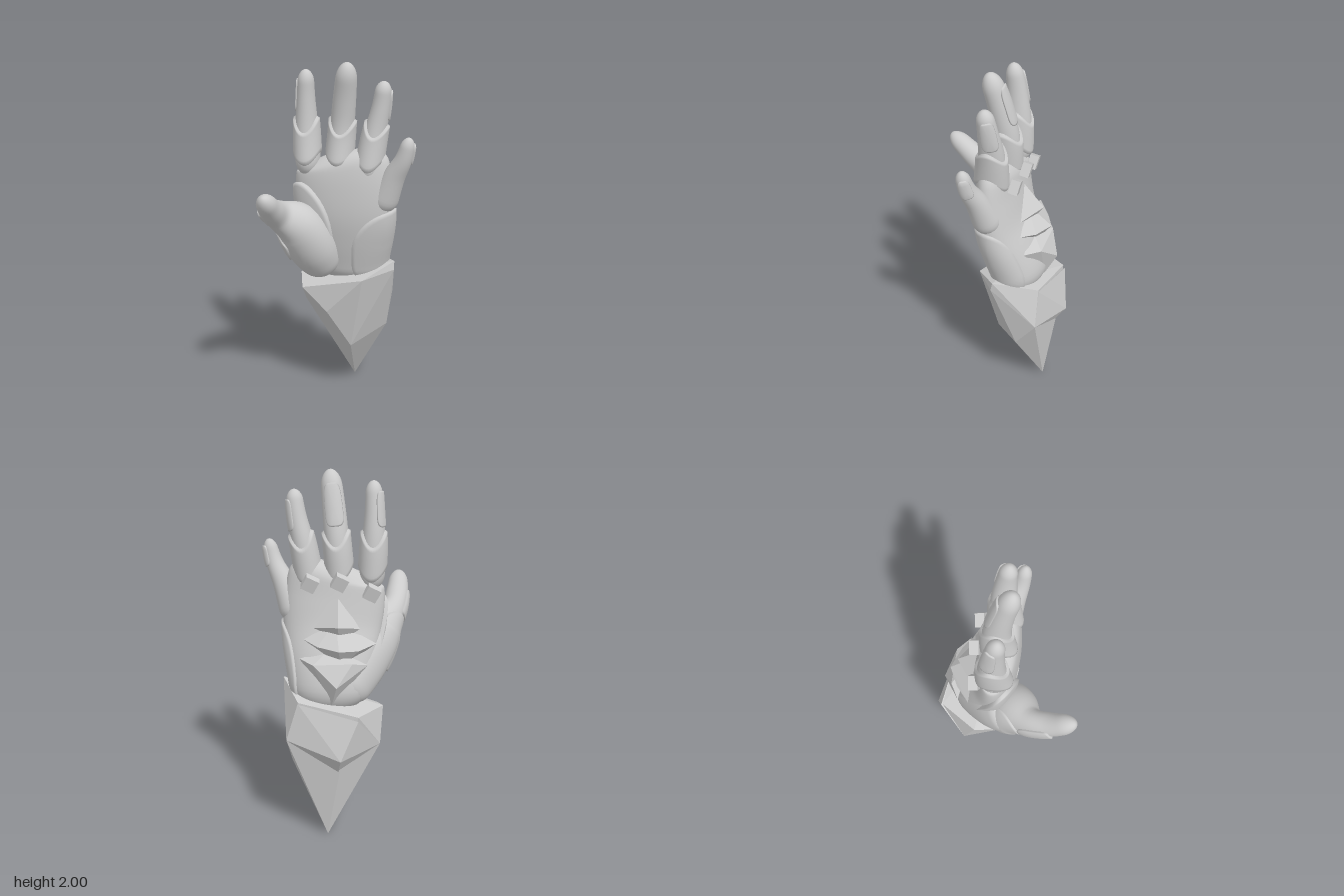
import * as THREE from 'three';
import { mergeVertices } from 'three/addons/utils/BufferGeometryUtils.js';
import { ConvexGeometry } from 'three/addons/geometries/ConvexGeometry.js';

const smooth = new THREE.MeshStandardMaterial({ color: 0xcccccc, side: THREE.DoubleSide });
const faceted = new THREE.MeshStandardMaterial({ color: 0xcccccc, flatShading: true });
const V = (x, y, z) => new THREE.Vector3(x, y, z);
const bend = (s, p) => Math.sign(s) * Math.abs(s) ** p;

// Grid surface from a rule fn(u, v), u and v in 0..1
function surface(fn, nu, nv) {
  const pos = [], idx = [];
  for (let j = 0; j <= nv; j++)
    for (let i = 0; i <= nu; i++) pos.push(...fn((i % nu) / nu, j / nv).toArray());
  for (let j = 0; j < nv; j++)
    for (let i = 0; i < nu; i++) {
      const a = j * (nu + 1) + i, b = a + nu + 1;
      idx.push(a, a + 1, b + 1, a, b + 1, b);
    }
  let g = new THREE.BufferGeometry();
  g.setAttribute('position', new THREE.Float32BufferAttribute(pos, 3));
  g.setIndex(idx);
  g = mergeVertices(g, 1e-5);
  g.computeVertexNormals();
  return g;
}

// Swept limb: rows are [x, y, z, radius along ref, radius across]; returns point(t, angle, offset)
function limb(rows, ref = V(0, 0, -1), cap = 0.1, power = 1) {
  const path = new THREE.CatmullRomCurve3(rows.map(r => V(r[0], r[1], r[2])), false, 'catmullrom');
  const radii = new THREE.CatmullRomCurve3(rows.map(r => V(r[3], r[4] ?? r[3], 0)), false, 'catmullrom');
  return (t, a, off = 0) => {
    t = THREE.MathUtils.clamp(t, 0, 1);
    const c = path.getPoint(t), r = radii.getPoint(t), T = path.getTangent(t);
    const N = ref.clone().addScaledVector(T, -ref.dot(T)).normalize();
    const B = T.clone().cross(N);
    const e = Math.max(0, 1 - Math.min(t, 1 - t) / cap);
    const k = Math.sqrt(Math.max(0, 1 - e * e));
    return c.addScaledVector(N, (r.x * k + off) * bend(Math.cos(a), power))
      .addScaledVector(B, (r.y * k + off) * bend(Math.sin(a), power));
  };
}
const body = (L, nu = 28, nv = 36) =>
  surface((u, v) => L((1 - Math.cos(Math.PI * v)) / 2, u * 2 * Math.PI), nu, nv);

// Raised plate lying on a limb, with a steep rim
function pad(L, tc, ac, dt, da, h, square = 0.7) {
  return surface((u, v) => {
    const th = -u * 2 * Math.PI, r = Math.min(1, v * 1.08);
    const off = v > 0.95 ? -0.012 : h * (1 - 0.25 * v ** 4);
    return L(tc + dt * r * bend(Math.sin(th), square), ac + da * r * bend(Math.cos(th), square), off);
  }, 40, 14);
}

// Scalloped sleeve around the root of a finger
function sleeve(L) {
  return surface((u, v) => {
    const a = u * 2 * Math.PI, s = Math.sin(a) ** 2;
    const lo = 0.08 + 0.08 * s, hi = 0.36 + 0.14 * s;
    const off = v === 0 || v === 1 ? -0.01 : 0.01 + 0.003 * v;
    return L(lo + (hi - lo) * v, a, off);
  }, 36, 12);
}

export function createModel() {
  const hand = new THREE.Group();
  hand.name = 'gauntletHand';
  const add = (name, geo, mat = smooth, parent = hand) => {
    const m = new THREE.Mesh(geo, mat);
    m.name = name;
    parent.add(m);
    return m;
  };
  const hull = (name, pts) => add(name, new ConvexGeometry(pts.map(p => V(...p))), faceted);

  // Palm with its raised panels
  const palm = limb([
    [0.01, 0.7, -0.18, 0.14, 0.2], [0.01, 0.85, -0.16, 0.15, 0.22], [0.01, 1.0, -0.115, 0.145, 0.25],
    [0.01, 1.15, -0.07, 0.13, 0.27], [0, 1.3, -0.05, 0.115, 0.275],
    [-0.01, 1.42, -0.045, 0.1, 0.262], [-0.03, 1.5, -0.05, 0.08, 0.23],
  ], undefined, 0.16, 0.95);
  add('palm', body(palm, 48, 40));
  add('thumbSidePanel', pad(palm, 0.39, 2.15, 0.34, 0.78, 0.025, 1));
  add('littleFingerSidePanel', pad(palm, 0.27, 4.35, 0.26, 1.05, 0.013));

  // Thumb, its plates and the cuff behind it
  const thumb = limb([
    [-0.11, 0.78, -0.09, 0.1], [-0.17, 0.95, 0.015, 0.14, 0.13], [-0.235, 1.1, 0.085, 0.13],
    [-0.31, 1.18, 0.18, 0.075, 0.088], [-0.33, 1.25, 0.29, 0.064], [-0.335, 1.35, 0.415, 0.048],
  ], V(-1, 0, 0));
  add('thumb', body(thumb, 32, 44));
  add('thumbHeelPlate', pad(thumb, 0.36, -0.2, 0.2, 1.25, 0.01, 1));
  add('thumbNail', pad(thumb, 0.69, 0, 0.12, 0.6, 0.012, 0.4));
  const cuff = limb([
    [-0.09, 0.8, -0.25, 0.06, 0.1], [-0.185, 0.93, -0.145, 0.065, 0.115],
    [-0.255, 1.05, -0.045, 0.068, 0.115], [-0.29, 1.15, 0.045, 0.065, 0.1],
  ], V(-0.7, 0, -0.7), 0.16);
  add('thumbCuff', body(cuff));

  // Fingers: nail plate [position, angle, half length], then path rows
  const fingers = {
    indexFinger: [[0.7, 1.1, 0.18], [[-0.2, 1.36, -0.03, 0.098, 0.072], [-0.21, 1.6, -0.045, 0.075, 0.065],
      [-0.21, 1.79, -0.035, 0.056, 0.05], [-0.205, 1.95, -0.015, 0.042]]],
    middleFinger: [[0.7, 0.1, 0.18], [[-0.035, 1.36, -0.035, 0.098, 0.075], [-0.017, 1.6, -0.055, 0.077, 0.067],
      [0.003, 1.79, -0.03, 0.063], [0.03, 2.0, 0.022, 0.054]]],
    ringFinger: [[0.7, -1.1, 0.18], [[0.125, 1.33, -0.03, 0.095, 0.074], [0.165, 1.59, -0.05, 0.073, 0.063],
      [0.2, 1.76, -0.045, 0.055, 0.05], [0.22, 1.9, -0.03, 0.042]]],
    littleFinger: [[0.78, -1.1, 0.14], [[0.2, 1.18, -0.06, 0.09], [0.275, 1.37, -0.02, 0.064],
      [0.335, 1.49, 0.012, 0.047], [0.37, 1.615, 0.03, 0.034]]],
  };
  for (const [name, [[at, angle, half], rows]] of Object.entries(fingers)) {
    const g = new THREE.Group();
    g.name = name;
    hand.add(g);
    const L = limb(rows, undefined, 0.14);
    add('finger', body(L), smooth, g);
    add('nailPlate', pad(L, at, angle, half, 0.75, 0.009, 0.5), smooth, g);
    if (name !== 'littleFinger') add('sleeve', sleeve(L), smooth, g);
  }

  // Knuckle studs
  for (const [x, y, z] of [[-0.21, 1.37, -0.14], [-0.04, 1.43, -0.165], [0.12, 1.42, -0.165]]) {
    const stud = add('knuckleStud', new THREE.BoxGeometry(0.075, 0.075, 0.05), faceted);
    stud.position.set(x, y, z);
    stud.rotation.set(-0.2, 0.1, 0.5);
  }

  // Crystal spikes up the back of the hand
  const spikes = [
    [[-0.15, 1.18, -0.18], [0.1, 1.18, -0.19], [-0.03, 1.36, -0.14], [-0.04, 1.1, -0.2], [-0.04, 1.21, -0.27]],
    [[-0.24, 1.1, -0.18], [0.15, 1.12, -0.21], [-0.02, 1.22, -0.18], [-0.05, 0.97, -0.23],
      [-0.05, 1.09, -0.315], [-0.15, 1.08, -0.26], [0.07, 1.1, -0.27]],
    [[-0.2, 1.0, -0.25], [0.17, 1.02, -0.24], [0, 1.08, -0.22], [-0.01, 0.78, -0.3],
      [-0.04, 0.9, -0.36], [0.09, 1.01, -0.31], [-0.12, 1.02, -0.3]],
  ];
  spikes.forEach(p => hull('backSpike', p));

  // Faceted crystal forearm ending in a point, with a faceted ridge across the back
  hull('forearmCrystal', [
    [-0.28, 0.73, -0.15], [-0.24, 0.69, -0.01], [0.12, 0.78, 0.045], [0.28, 0.86, -0.1],
    [0.28, 0.81, -0.09], [0.17, 0.8, -0.33], [-0.16, 0.74, -0.36], [-0.27, 0.53, -0.22],
    [-0.09, 0.56, 0.02], [0.04, 0.33, -0.04], [0.22, 0.41, -0.22], [0.235, 0.58, -0.34],
    [-0.06, 0.42, -0.365], [0.01, 0.005, -0.32],
  ]);
  hull('forearmRidge', [
    [-0.27, 0.53, -0.22], [0.235, 0.58, -0.34], [-0.16, 0.72, -0.37], [0.17, 0.79, -0.33],
    [-0.05, 0.41, -0.36], [-0.07, 0.5, -0.42], [0, 0.6, -0.1],
  ]);
  return hand;
}
